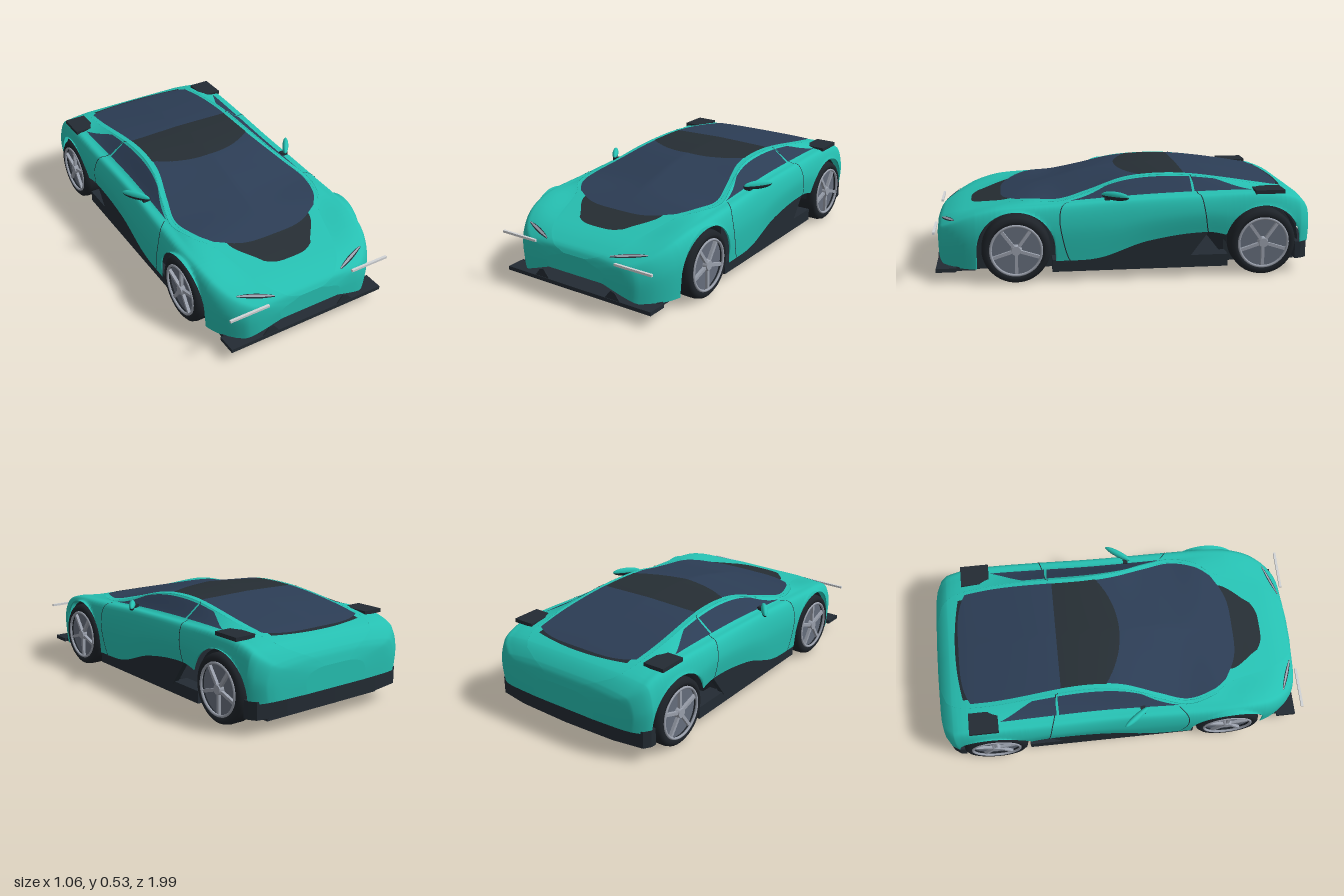
import * as THREE from 'three';

const mat = (name, color, side = THREE.FrontSide) =>
  Object.assign(new THREE.MeshStandardMaterial({ color, side }), { name });
const paint = mat('teal paint', 0x26c0b2, THREE.DoubleSide);
const glass = mat('tinted glass', 0x2c3d55, THREE.DoubleSide);
const trim = mat('dark trim', 0x232b33, THREE.DoubleSide);
const roofMat = mat('roof black', 0x262e34, THREE.DoubleSide);
const rubber = mat('rubber', 0x1e2329);
const rimMat = mat('rim grey', 0x666e7c);
const alloy = mat('alloy', 0x9aa0ac);
const light = mat('light strip', 0xd2d4d6, THREE.DoubleSide);

const lerp = THREE.MathUtils.lerp;
const WHEELS = [0.574, -0.713], ARCH = 0.2, AXLE = 0.176, NOSE = 0.988;

// Smooth curve through [z, value] pairs
function profile(p) {
  const slope = (i) => {
    const a = p[Math.max(i - 1, 0)], b = p[Math.min(i + 1, p.length - 1)];
    return (b[1] - a[1]) / (b[0] - a[0]);
  };
  return (z) => {
    let i = 0;
    while (i < p.length - 2 && z > p[i + 1][0]) i++;
    const h = p[i + 1][0] - p[i][0];
    const t = THREE.MathUtils.clamp((z - p[i][0]) / h, 0, 1), t2 = t * t, t3 = t2 * t;
    return (2 * t3 - 3 * t2 + 1) * p[i][1] + (t3 - 2 * t2 + t) * h * slope(i)
      + (3 * t2 - 2 * t3) * p[i + 1][1] + (t3 - t2) * h * slope(i + 1);
  };
}

// Lengthwise lines of the body
const top = profile([[-1, .285], [-.988, .335], [-.95, .39], [-.88, .425], [-.75, .455], [-.4, .512], [-.2, .523],
  [0, .516], [.2, .486], [.35, .45], [.65, .377], [.78, .347], [.88, .322], [.95, .293], [.975, .274], [NOSE, .25]]);
const width = profile([[-1, .2], [-.988, .38], [-.95, .475], [-.88, .5], [-.7, .51], [-.4, .505], [-.1, .5],
  [.35, .508], [.6, .508], [.78, .485], [.88, .44], [.95, .37], [.975, .3], [NOSE, .18]]);
const glassX = profile([[-1, .07], [-.95, .25], [-.75, .315], [-.2, .295], [0, .31], [.2, .365], [.35, .4],
  [.5, .36], [.6, .29], [.88, .2], [.975, .12], [NOSE, .06]]);
const crown = profile([[-1, 0], [-.4, .007], [-.2, .007], [0, .015], [.2, .038], [.35, .037], [.5, .006], [.65, 0], [1, 0]]);
const belt = profile([[-1, .28], [-.988, .322], [-.95, .375], [-.88, .415], [-.75, .44], [-.4, .44], [0, .425],
  [.35, .405], [.65, .387], [.78, .357], [.88, .315], [.95, .278], [.975, .26], [NOSE, .235]]);
const sill = profile([[-1, .165], [-.88, .15], [-.6, .2], [-.42, .24], [-.1, .2], [.15, .12], [.4, .11], [.65, .08],
  [.95, .078], [.975, .105], [NOSE, .15]]);

function section(z) {
  const w = width(z), xg = glassX(z), yg = top(z) - crown(z), xb = w - 0.08, yb = belt(z);
  return new THREE.SplineCurve([[0, top(z)], [xg, yg], [lerp(xg, xb, .27), lerp(yg, yb, .07)], [xb, yb],
    [w - .025, yb - .018], [w, Math.max(yb * .68, lerp(yb, sill(z), .5))], [w - .01, sill(z)]]
    .map(([x, y]) => new THREE.Vector2(x, y)));
}

// Point on the half body: k runs 0 (centre line) to 6 (bottom edge)
function skin(z, k, curve = section(z)) {
  const p = curve.getPoint(k / 6);
  for (const c of WHEELS) {
    const d = ARCH * ARCH - (z - c) ** 2;
    if (d >= 0) p.y = Math.max(p.y, AXLE + Math.sqrt(d));
  }
  return p;
}

// Height of the upper body at x, z
function height(x, z) {
  const curve = section(z);
  let a = 0, b = 4.5;
  for (let i = 0; i < 22; i++) {
    const m = (a + b) / 2;
    if (curve.getPoint(m / 6).x < Math.abs(x)) a = m; else b = m;
  }
  return curve.getPoint(a / 6).y;
}

// Grid surface from fn(u, v); side -1 mirrors it
function grid(nu, nv, fn, side = 1) {
  const pos = [], idx = [], n = nu + 1;
  for (let j = 0; j <= nv; j++) for (let i = 0; i <= nu; i++) {
    const [x, y, z] = fn(side > 0 ? i / nu : 1 - i / nu, j / nv);
    pos.push(x * side, y, z);
    if (i < nu && j < nv) {
      const a = j * n + i;
      idx.push(a, a + 1, a + n, a + 1, a + n + 1, a + n);
    }
  }
  const g = new THREE.BufferGeometry();
  g.setAttribute('position', new THREE.Float32BufferAttribute(pos, 3));
  g.setIndex(idx);
  g.computeVertexNormals();
  return g;
}

export function createModel() {
  const car = new THREE.Group();
  car.name = 'sportsCar';
  const add = (name, geo, m, parent = car) => {
    const mesh = new THREE.Mesh(geo, m);
    mesh.name = name;
    parent.add(mesh);
    return mesh;
  };
  const box = (name, m, x0, x1, y0, y1, z0, z1) =>
    add(name, new THREE.BoxGeometry(x1 - x0, y1 - y0, z1 - z0), m).position.set((x0 + x1) / 2, (y0 + y1) / 2, (z0 + z1) / 2);
  const extrude = (pts, depth) =>
    new THREE.ExtrudeGeometry(new THREE.Shape(pts.map(([x, y]) => new THREE.Vector2(x, y))), { depth, bevelEnabled: false });

  // Body shell, with extra columns at the ends and around the wheel arches
  const zs = [];
  for (let i = 0; i < 70; i++) zs.push(-.975 + i * 1.925 / 69);
  for (let i = 0; i < 8; i++) zs.push(-1 + i * .003, NOSE - i * .004);
  for (const c of WHEELS) {
    for (let i = 0; i <= 24; i++) zs.push(c + ARCH * .99999 * Math.cos(i * Math.PI / 24));
    zs.push(c + ARCH + .001, c - ARCH - .001);
  }
  zs.sort((a, b) => a - b);
  const curves = zs.map((z) => section(z)), rows = 72;
  add('bodyShell', grid(rows, zs.length - 1, (u, v) => {
    const j = Math.round(v * (zs.length - 1)), k = (.5 - u) * 12;
    const p = skin(zs[j], Math.abs(k), curves[j]);
    return [p.x * Math.sign(k), p.y, zs[j]];
  }), paint);
  for (const [name, z, flip] of [['nosePanel', NOSE, 1], ['tailPanel', -1, -1]]) {
    add(name, grid(8, 36, (u, v) => {
      const p = skin(z, 6 * (1 - v));
      return [p.x * (2 * u - 1) * flip, p.y, z];
    }), paint);
  }

  // Panels laid on the upper body, between two z lines
  const panel = (name, m, rear, front, half, lift) => add(name, grid(36, 30, (u, v) => {
    const s = 1 - 2 * u, z = lerp(rear(s), front(s), v), x = s * half(z);
    return [x, height(x, z) + lift, z];
  }), m);
  const screenTop = (s) => .02 - .1 * s * s;
  panel('windscreen', glass, screenTop, (s) => .65 - .08 * s ** 4, (z) => glassX(z), .005);
  panel('roofPanel', roofMat, () => -.322, screenTop, (z) => glassX(z) + .004, .005);
  panel('rearWindow', glass, (s) => -.86 + .05 * s ** 4, () => -.322, (z) => glassX(z) + .005, .005);
  panel('rearVent', trim, (s) => -.88 + .03 * s * s, () => -.78, () => .29, .003);
  panel('bonnetPanel', roofMat, () => .57, (s) => .81 - .035 * s ** 4, (z) => lerp(.25, .13, THREE.MathUtils.smoothstep(z, .6, .82)), .0025);

  for (const side of [1, -1]) {
    // Side windows, tapering to points front and rear
    for (const [name, z0, z1] of [['quarterWindow', -.66, -.358], ['doorWindow', -.345, .3]]) {
      add(name, grid(8, 30, (u, v) => {
        const z = lerp(z0, z1, v), taper = Math.max(0, Math.min(1, (z + .66) / .18, (.3 - z) / .2));
        const p = skin(z, lerp(2.98, 2.98 - .9 * taper, u));
        return [p.x + .003, p.y + .003, z];
      }, side), glass);
    }
    // Door seams
    for (const [z0, bow, k1] of [[.3, .05, 3.2], [-.42, -.08, 1.2]]) {
      add('doorSeam', grid(30, 1, (u, v) => {
        const k = lerp(6, k1, u);
        const z = z0 + (bow > 0 ? bow * Math.sin(Math.PI * u) : -bow * u) + (v - .5) * .005;
        const p = skin(z, k);
        return [p.x + .002, p.y + .001, z];
      }, side), trim);
    }
    // Headlight slits
    for (const [name, m, w, lift] of [['headlightSurround', trim, .011, .002], ['headlight', alloy, .006, .004]]) {
      add(name, grid(12, 2, (u, v) => {
        const x = lerp(.375, .2, u), z = lerp(.89, .958, u) + (v - .5) * w * 2 * Math.sin(Math.PI * (.1 + .8 * u));
        return [x, height(x, z) + lift, z];
      }, side), m);
    }
    // Free-standing light bars, rear winglets and side skirts
    const span = (a, b) => side > 0 ? [a, b] : [-b, -a];
    box('frontLightBar', light, ...span(.25, .47), .264, .276, .98, .993);
    box('rearWinglet', trim, ...span(.37, .487), .432, .452, -.825, -.67);
    box('sideSkirt', trim, ...span(.4, .485), .05, .115, -.53, .39);
    box('frontUndertray', trim, ...span(.36, .44), .06, .08, .785, .89);
    // Dark wedge ahead of the side intake
    const wedge = extrude([[.33, .1], [.15, .135], [-.1, .215], [-.25, .24], [-.43, .25], [-.32, .1]], .03);
    wedge.rotateY(-Math.PI / 2);
    add('intakeWedge', wedge, trim).position.x = side > 0 ? .49 : -.46;
    // Bumper notch, its tall edge leaning to the middle
    add('bumperNotch', extrude([[-.045, .078], [.045, .078], [.015, .115], [-.01, .122]].map(([x, y]) => [x * side, y]), .006), trim)
      .position.set(side * .225, 0, .976);

    // Door mirror
    const mirror = new THREE.Group();
    mirror.name = 'mirror';
    mirror.position.set(side * .48, .44, .065);
    mirror.rotation.y = side * .95;
    car.add(mirror);
    const upper = add('mirrorCap', new THREE.SphereGeometry(1, 24, 8, 0, Math.PI * 2, 0, Math.PI / 2), paint, mirror);
    upper.scale.set(.082, .024, .017);
    const lower = add('mirrorBase', new THREE.SphereGeometry(1, 24, 8, 0, Math.PI * 2, Math.PI / 2, Math.PI / 2), trim, mirror);
    lower.scale.set(.08, .022, .016);
    box('mirrorStalk', trim, ...span(.42, .46), .415, .435, .09, .115);

    // Wheels with dark arch liners
    for (const z of WHEELS) {
      const wheel = new THREE.Group();
      wheel.name = 'wheel';
      wheel.position.set(side * .448, AXLE, z);
      wheel.rotation.z = -side * Math.PI / 2;
      car.add(wheel);
      const half = [side > 0 ? Math.PI : 0, Math.PI];
      add('archLiner', new THREE.CylinderGeometry(.193, .193, .11, 32, 1, true, ...half), trim, wheel).position.y = -.033;
      add('archBacking', new THREE.CylinderGeometry(.193, .193, .02, 32, 1, false, ...half), trim, wheel).position.y = -.078;
      const tyre = [[.13, -.06], [.155, -.063], [.171, -.05], [.176, -.03], [.176, .03], [.171, .05], [.155, .062], [.134, .058], [.13, .03]];
      add('tyre', new THREE.LatheGeometry(tyre.map(([r, y]) => new THREE.Vector2(r, y)), 48), rubber, wheel);
      add('rimDisc', new THREE.CylinderGeometry(.132, .132, .08, 40), rimMat, wheel);
      const lip = add('rimLip', new THREE.TorusGeometry(.13, .007, 8, 48), alloy, wheel);
      lip.rotation.x = Math.PI / 2;
      lip.position.y = .058;
      add('hub', new THREE.CylinderGeometry(.024, .03, .025, 20), alloy, wheel).position.y = .052;
      for (let i = 0; i < 5; i++) {
        const a = i * Math.PI * 2 / 5;
        const spoke = add('spoke', new THREE.BoxGeometry(.11, .016, .016), alloy, wheel);
        spoke.position.set(Math.cos(a) * .075, .05, -Math.sin(a) * .075);
        spoke.rotation.y = a;
      }
    }
  }

  // Inner structure behind the arches and intakes, and the floor
  box('frontCore', trim, -.37, .37, .06, .27, .3, .85);
  box('cabinCore', trim, -.44, .44, .06, .38, -.32, .36);
  box('rearCore', trim, -.37, .37, .06, .36, -.93, -.53);
  box('floor', trim, -.37, .37, .045, .075, -.92, .9);
  box('splitter', trim, -.455, .455, .058, .078, .88, .985);

  // Rear bumper
  const bumper = extrude([[-.49, -.89], [-.488, -.92], [-.465, -.955], [-.3, -.982], [0, -.992], [.3, -.982], [.465, -.955], [.488, -.92], [.49, -.89]], .09);
  bumper.rotateX(Math.PI / 2);
  add('rearBumper', bumper, trim).position.y = .17;
  return car;
}
